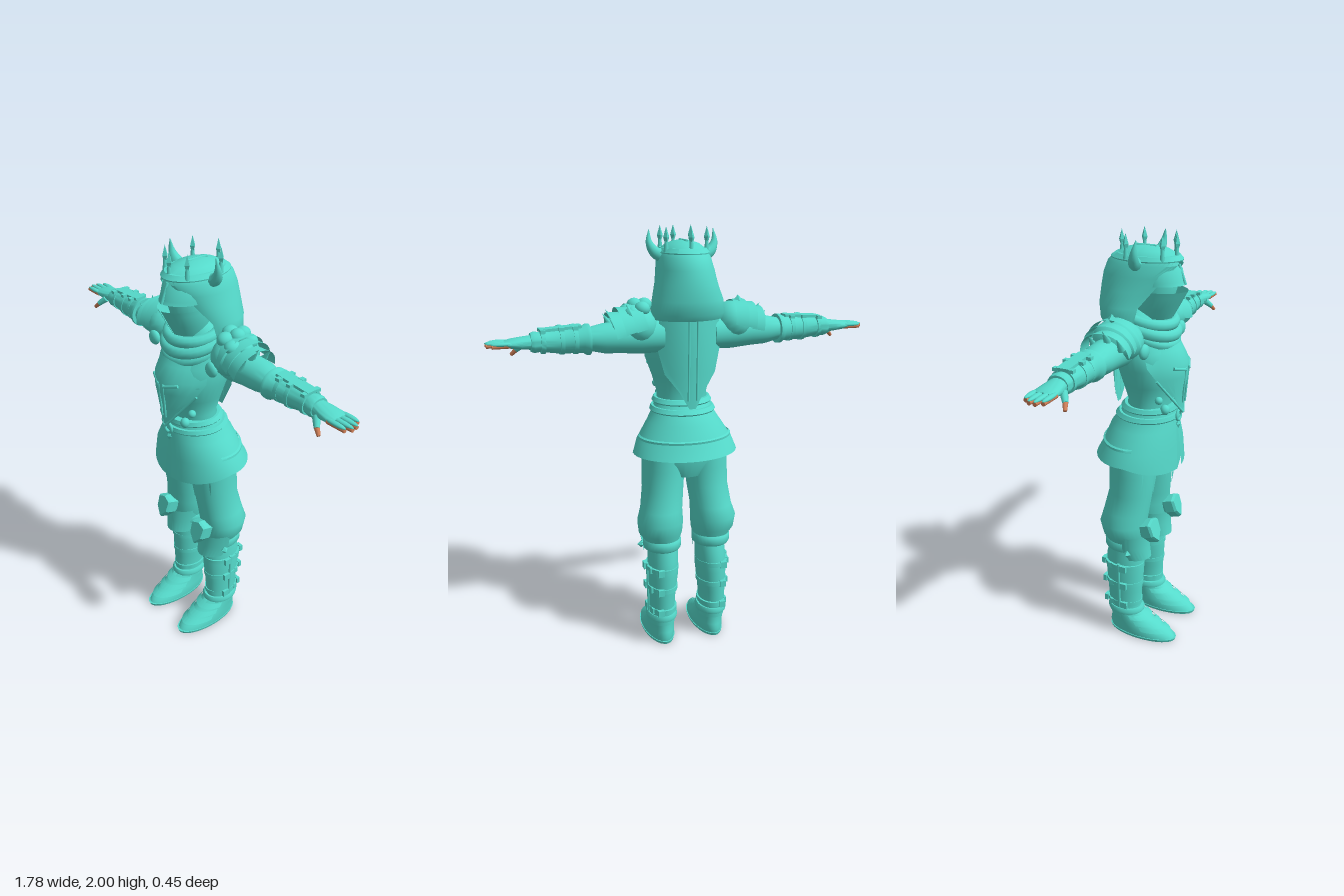
import * as THREE from 'three';
import { toCreasedNormals } from 'three/addons/utils/BufferGeometryUtils.js';

const teal = new THREE.MeshStandardMaterial({ color: 0x55dacb, side: THREE.DoubleSide });
teal.name = 'turquoise';
const skin = new THREE.MeshStandardMaterial({ color: 0xd08058, side: THREE.DoubleSide });
skin.name = 'skin';

function surface(pos, idx, crease = 0.75) {
  const g = new THREE.BufferGeometry();
  g.setAttribute('position', new THREE.Float32BufferAttribute(pos, 3));
  g.setIndex(idx);
  return toCreasedNormals(g, crease);
}

// Stacked oval sections [y, halfWidth, zFront, zBack, xCentre, frontGapAngle]
function loft(rows, { seg = 32, e = 1, cap = true, turn = 0, warp } = {}) {
  const pos = [], idx = [], w = seg + 1;
  const pw = (v) => Math.sign(v) * Math.abs(v) ** e;
  for (const [y, rx, zf, zb, cx = 0, gap = 0] of rows)
    for (let j = 0; j <= seg; j++) {
      const t = gap + ((2 * Math.PI - 2 * gap) * j) / seg + turn;
      const p = new THREE.Vector3(cx + rx * pw(Math.sin(t)), y, (zf + zb) / 2 + ((zf - zb) / 2) * Math.cos(t));
      if (warp) warp(p);
      pos.push(p.x, p.y, p.z);
    }
  for (let i = 0; i < rows.length - 1; i++)
    for (let j = 0; j < seg; j++) {
      const a = i * w + j;
      idx.push(a, a + 1, a + w + 1, a, a + w + 1, a + w);
    }
  if (cap) [0, rows.length - 1].forEach((i) => {
    const [y, , zf, zb, cx = 0] = rows[i], c = pos.length / 3;
    pos.push(cx, y, (zf + zb) / 2);
    for (let j = 0; j < seg; j++) i ? idx.push(c, i * w + j, i * w + j + 1) : idx.push(c, j + 1, j);
  });
  return surface(pos, idx);
}

// Curved sheet from rows [y, halfWidth, z], bent around the body
function panel(rows, bend, cx = 0) {
  const pos = [], idx = [], n = 10;
  for (const [y, hw, z] of rows)
    for (let j = 0; j <= n; j++) {
      const x = hw * ((2 * j) / n - 1);
      pos.push(cx + x, y, z - bend * x * x);
    }
  for (let i = 0; i < rows.length - 1; i++)
    for (let j = 0; j < n; j++) {
      const a = i * (n + 1) + j, b = a + n + 1;
      idx.push(a, a + 1, b + 1, a, b + 1, b);
    }
  return surface(pos, idx);
}

// Tube that narrows from r to almost nothing
function horn(points, r, n = 14) {
  const curve = new THREE.CatmullRomCurve3(points.map((p) => new THREE.Vector3(...p)));
  const g = new THREE.TubeGeometry(curve, n, r, 10), p = g.attributes.position, v = new THREE.Vector3();
  for (let k = 0; k < p.count; k++) {
    const u = Math.floor(k / 11) / n;
    v.fromBufferAttribute(p, k).lerp(curve.getPointAt(u), 0.96 * u ** 1.3);
    p.setXYZ(k, v.x, v.y, v.z);
  }
  g.computeVertexNormals();
  return g;
}

// Round bar between two points
function bar(a, b, r1, r2 = r1) {
  const A = new THREE.Vector3(...a), B = new THREE.Vector3(...b), d = B.clone().sub(A);
  const g = new THREE.CylinderGeometry(r2, r1, d.length(), 10);
  g.applyQuaternion(new THREE.Quaternion().setFromUnitVectors(new THREE.Vector3(0, 1, 0), d.normalize()));
  return g.translate(...A.add(B).multiplyScalar(0.5).toArray());
}

function place(g, pos = [0, 0, 0], rot = [0, 0, 0], scale = [1, 1, 1]) {
  const q = new THREE.Quaternion().setFromEuler(new THREE.Euler(...rot));
  return g.applyMatrix4(new THREE.Matrix4().compose(new THREE.Vector3(...pos), q, new THREE.Vector3(...scale)));
}
const ball = (pos, scale) => place(new THREE.SphereGeometry(1, 20, 14), pos, [0, 0, 0], scale);
const box = (size, pos, rot) => place(new THREE.BoxGeometry(...size), pos, rot);
const alongArm = (rows, opt) => place(loft(rows, opt), [0, 1.53, 0], [0, 0, -Math.PI / 2]);

function mirrored(src) {
  const g = src.clone().scale(-1, 1, 1);
  const ix = g.index ? Array.from(g.index.array) : Array.from({ length: g.attributes.position.count }, (_, i) => i);
  for (let i = 0; i < ix.length; i += 3) [ix[i + 1], ix[i + 2]] = [ix[i + 2], ix[i + 1]];
  g.setIndex(ix);
  return g;
}

export function createModel() {
  const model = new THREE.Group();
  model.name = 'armouredFigure';
  const add = (name, g, mat = teal) => {
    const m = new THREE.Mesh(g, mat);
    m.name = name;
    model.add(m);
  };
  const pair = (name, g, mat) => {
    add('left' + name, g, mat);
    add('right' + name, mirrored(g), mat);
  };

  // Torso and armour plates
  add('torso', loft([[1.14, 0.13, 0.12, -0.09], [1.25, 0.118, 0.125, -0.075], [1.33, 0.14, 0.15, -0.1], [1.42, 0.172, 0.18, -0.125],
    [1.5, 0.178, 0.15, -0.14], [1.58, 0.165, 0.1, -0.14], [1.64, 0.12, 0.07, -0.12], [1.68, 0.06, 0.05, -0.07]]));
  add('chestPlate', panel([[1.2, 0.004, 0.188], [1.3, 0.075, 0.19], [1.38, 0.14, 0.205], [1.44, 0.165, 0.205], [1.5, 0.155, 0.172], [1.57, 0.12, 0.125]], 4.5));
  add('backPlate', panel([[1.2, 0.015, -0.14], [1.28, 0.06, -0.142], [1.36, 0.12, -0.145], [1.48, 0.15, -0.152], [1.62, 0.14, -0.15]], -3));
  for (const x of [-0.02, 0.02]) {
    add('backRidge', bar([x, 1.24, -0.143], [x, 1.6, -0.152], 0.005));
    add('chestRidge', bar([x * 0.6, 1.25, 0.19], [x * 0.8, 1.42, 0.204], 0.005));
  }
  pair('ChestTrim', bar([0.015, 1.41, 0.204], [0.085, 1.43, 0.174], 0.008));
  pair('ChestEdge', bar([0.003, 1.2, 0.188], [0.14, 1.38, 0.117], 0.006));

  // Skirt, belt and front flap
  add('pelvis', loft([[0.86, 0.1, 0.05, -0.11], [0.94, 0.19, 0.09, -0.14], [1.05, 0.18, 0.12, -0.14], [1.18, 0.13, 0.12, -0.09]]));
  const hem = (p) => { if (p.y < 0.96) p.y = 0.975 - 0.06 * Math.max(0, p.z / 0.175); };
  add('skirt', loft([[0.95, 0.25, 0.175, -0.225, 0, 0.1], [1.03, 0.23, 0.168, -0.195, 0, 0.08], [1.12, 0.172, 0.16, -0.16, 0, 0.04], [1.17, 0.142, 0.153, -0.125],
    [1.21, 0.128, 0.145, -0.095]], { cap: false, seg: 48, warp: hem }));
  add('frontFlap', panel([[0.9, 0.004, 0.163], [0.94, 0.045, 0.163], [1.05, 0.045, 0.16], [1.16, 0.03, 0.153]], 1));
  for (const [y, r, f, b] of [[1.165, 0.152, 0.163, -0.135], [1.205, 0.138, 0.155, -0.107]])
    add('belt', loft([[y, r, f, b], [y + 0.006, r + 0.004, f + 0.004, b - 0.004], [y + 0.024, r - 0.006, f, b + 0.012]]));
  add('beltBuckle', place(new THREE.TorusGeometry(0.024, 0.007, 8, 20), [0, 1.18, 0.167]));
  add('buckleDrop', place(new THREE.OctahedronGeometry(0.018), [0, 1.135, 0.165], [0, 0, 0], [1, 1.3, 0.6]));
  pair('Pouch', ball([0.075, 1.225, 0.13], [0.022, 0.024, 0.022]));
  pair('SideKnob', ball([0.1, 1.275, 0.11], [0.018, 0.018, 0.018]));
  add('skirtSeam', loft([[1.045, 0.224, 0.15, -0.19, 0, 1.3], [1.055, 0.222, 0.15, -0.192, 0, 1.3], [1.06, 0.214, 0.15, -0.184, 0, 1.3]], { cap: false }));

  // Helmet with eye slit and split face guard
  add('faceCore', loft([[1.6, 0.06, 0.08, -0.06], [1.68, 0.075, 0.12, -0.06], [1.78, 0.082, 0.15, -0.06], [1.87, 0.08, 0.13, -0.06]], { e: 1.1 }));
  add('faceGuard', loft([[1.62, 0.06, 0.12, -0.06, 0, 0.09], [1.68, 0.085, 0.155, -0.06, 0, 0.09], [1.735, 0.094, 0.185, -0.06, 0, 0.09], [1.758, 0.097, 0.198, -0.06, 0, 0.09]], { e: 1.2, cap: false }));
  add('helmetBrow', loft([[1.785, 0.1, 0.188, -0.06], [1.8, 0.1, 0.18, -0.06], [1.85, 0.095, 0.168, -0.06], [1.89, 0.07, 0.13, -0.06]], { e: 1.2 }));
  add('helmetRidge', bar([0, 1.785, 0.187], [0, 1.87, 0.155], 0.007));

  // Hood and scarf
  add('hood', loft([[1.605, 0.16, 0.06, -0.185, 0, 1.05], [1.63, 0.17, 0.07, -0.2, 0, 1], [1.69, 0.16, 0.08, -0.21, 0, 0.95], [1.76, 0.138, 0.12, -0.205, 0, 0.78], [1.82, 0.126, 0.15, -0.195, 0, 0.6],
    [1.87, 0.115, 0.17, -0.175, 0, 0.28], [1.9, 0.1, 0.158, -0.14], [1.925, 0.072, 0.11, -0.095], [1.938, 0.03, 0.045, -0.04], [1.94, 0.002, 0.002, -0.002]], { cap: false, seg: 40 }));
  add('hoodCrease', bar([0, 1.938, -0.05], [0, 1.938, 0.05], 0.006));
  [[1.63, 0.115, 0.2, 0.026], [1.598, 0.128, 0.3, 0.028], [1.57, 0.13, 0.42, 0.024]].forEach(([y, r, tilt, t]) =>
    add('scarfFold', place(new THREE.TorusGeometry(r, t, 10, 32), [0, y, 0.015], [Math.PI / 2 + tilt, 0, 0])));

  // Crown with spikes and horns
  add('crownBand', loft([[1.885, 0.112, 0.17, -0.16], [1.89, 0.113, 0.172, -0.161], [1.908, 0.1, 0.155, -0.136]]));
  for (const t of [0, 0.75, -0.75, 2.1, -2.1, Math.PI]) {
    const x = 0.108 * Math.sin(t), z = 0.015 + 0.13 * Math.cos(t);
    add('spikeStem', bar([x, 1.89, z], [x, 1.95, z], 0.012, 0.006));
    add('spikeTip', place(new THREE.OctahedronGeometry(1), [x, 1.955, z], [0, 0, 0], [0.014, 0.045, 0.014]));
  }
  pair('Horn', horn([[0.09, 1.87, 0], [0.13, 1.89, 0.005], [0.152, 1.93, 0.015], [0.15, 1.985, 0.025]], 0.032));

  // Sleeves, bracers and hands
  pair('Sleeve', alongArm([[0.12, 0.075, 0.03, -0.12], [0.22, 0.078, 0.045, -0.12], [0.3, 0.07, 0.035, -0.115], [0.38, 0.066, 0.03, -0.112], [0.43, 0.055, 0.02, -0.1], [0.48, 0.045, 0.01, -0.09]]));
  pair('Bracer', alongArm([[0.445, 0.068, 0.035, -0.115], [0.46, 0.068, 0.035, -0.115], [0.475, 0.058, 0.022, -0.105], [0.58, 0.054, 0.016, -0.1], [0.66, 0.042, 0.005, -0.088], [0.685, 0.046, 0.012, -0.092], [0.7, 0.04, 0.006, -0.088]]));
  for (const [x, r] of [[0.5, 0.061], [0.56, 0.06], [0.64, 0.052]]) {
    pair('BracerStrap', alongArm([[x, r, r - 0.04, -r - 0.046], [x + 0.018, r - 0.001, r - 0.041, -r - 0.045]]));
    for (const z of [-0.075, -0.005]) pair('BracerStud', box([0.022, 0.014, 0.022], [x + 0.01, 1.525 + r, z]));
  }
  pair('BracerPlate', box([0.18, 0.012, 0.055], [0.57, 1.585, -0.042], [0, 0, -0.06]));
  pair('Palm', alongArm([[0.69, 0.032, 0, -0.08], [0.74, 0.026, 0.01, -0.088], [0.785, 0.02, 0.012, -0.09], [0.81, 0.012, 0.008, -0.086]]));
  [[-0.078, 0.865], [-0.051, 0.885], [-0.024, 0.888], [0.002, 0.872]].forEach(([z, tip]) => {
    pair('Finger', bar([0.785, 1.527, z * 0.95], [tip, 1.525, z], 0.0115, 0.009), skin);
    pair('FingerGuard', ball([(0.775 + tip) / 2, 1.534, z], [(tip - 0.775) / 2 + 0.003, 0.009, 0.0125]));
  });
  pair('Thumb', bar([0.725, 1.52, 0.0], [0.755, 1.49, 0.025], 0.017, 0.012));
  pair('ThumbTip', bar([0.753, 1.492, 0.023], [0.776, 1.468, 0.034], 0.0115, 0.008), skin);

  // Shoulder armour: smooth lames on the right, a lumpy rosette on the left
  pair('ShoulderCap', ball([0.225, 1.575, -0.025], [0.09, 0.09, 0.115]));
  pair('ShoulderDisc', ball([0.2, 1.53, 0.085], [0.034, 0.034, 0.02]));
  [[0.23, 0.1, 0.04], [0.275, 0.096, 0.03], [0.315, 0.09, 0.015]].forEach(([x, r, dy]) => {
    const lame = new THREE.CylinderGeometry(r + 0.012, r, 0.055, 24, 1, true, 0, Math.PI);
    lame.rotateY(-Math.PI);
    pair('ShoulderLame', place(lame, [x, 1.53 + dy, -0.03], [0, 0, -Math.PI / 2 - 0.2], [1, 1, 1.12]));
  });
  for (const z of [-0.09, -0.025, 0.04])
    pair('ShoulderSpike', place(new THREE.ConeGeometry(0.018, 0.07, 6), [0.345, 1.625 - Math.abs(z + 0.025) * 0.4, z], [0, 0, -0.65]));
  add('rightShoulderStud', place(new THREE.OctahedronGeometry(0.022), [-0.25, 1.672, -0.04]));
  for (let k = 0; k < 6; k++) {
    const a = (k * Math.PI) / 3;
    add('leftShoulderPetal', ball([0.235 + 0.045 * Math.cos(a), 1.645 - 0.02 * Math.cos(a), -0.025 + 0.055 * Math.sin(a)], [0.035, 0.032, 0.038]));
  }
  add('leftShoulderHeart', ball([0.235, 1.665, -0.025], [0.035, 0.033, 0.035]));

  // Legs
  pair('Trouser', loft([[0.48, 0.07, 0.03, -0.12, 0.12], [0.54, 0.085, 0.045, -0.14, 0.125], [0.58, 0.105, 0.055, -0.155, 0.132], [0.64, 0.11, 0.06, -0.17, 0.134], [0.7, 0.1, 0.068, -0.155, 0.125],
    [0.8, 0.099, 0.08, -0.132, 0.112], [0.9, 0.102, 0.09, -0.13, 0.107], [0.99, 0.1, 0.09, -0.13, 0.105]]));
  for (const [x, y] of [[0.075, 0.79], [0.13, 0.75], [0.17, 0.8]])
    pair('ThighStrip', panel([[y, 0.002, 0.084 - 9 * (x - 0.11) ** 2], [y + 0.08, 0.012, 0.093 - 8 * (x - 0.11) ** 2], [0.95, 0.014, 0.098 - 8 * (x - 0.11) ** 2]], 1, x));
  pair('KneeGuard', loft([[0.455, 0.076, 0.082, -0.1, 0.125, 1.7], [0.52, 0.087, 0.075, -0.13, 0.13, 1.6], [0.59, 0.1, 0.08, -0.15, 0.133, 1.7]], { turn: Math.PI, cap: false, e: 1.1 }));
  const shield = new THREE.Shape([[-0.04, 0.035], [0, 0.05], [0.04, 0.035], [0.036, -0.02], [0, -0.06], [-0.036, -0.02]].map((p) => new THREE.Vector2(...p)));
  pair('KneeShield', place(new THREE.ExtrudeGeometry(shield, { depth: 0.045, bevelSize: 0.006, bevelThickness: 0.012, bevelSegments: 1 }), [0.133, 0.61, 0.062], [-0.3, 0.05, 0]));
  pair('KneeBand', loft([[0.5, 0.088, 0.05, -0.145, 0.125], [0.51, 0.092, 0.052, -0.152, 0.125], [0.54, 0.092, 0.052, -0.152, 0.125], [0.55, 0.086, 0.05, -0.145, 0.125]]));

  // Boots with straps and studs
  pair('Boot', loft([[0.1, 0.065, 0.035, -0.13, 0.13], [0.16, 0.063, 0.03, -0.135, 0.132], [0.25, 0.066, 0.035, -0.142, 0.13], [0.36, 0.074, 0.043, -0.152, 0.125], [0.44, 0.073, 0.043, -0.15, 0.122], [0.51, 0.07, 0.04, -0.135, 0.12]]));
  for (const [y, r] of [[0.39, 0.079], [0.285, 0.074], [0.17, 0.069]]) {
    const x = 0.128, z = -0.055;
    pair('BootStrap', loft([[y, r, z + r + 0.022, z - r - 0.024, x], [y + 0.022, r, z + r + 0.022, z - r - 0.024, x]]));
    pair('BootBuckle', box([0.016, 0.034, 0.034], [x + r, y + 0.01, -0.03]));
    pair('BootKnob', box([0.03, 0.032, 0.018], [x + 0.03, y + 0.01, z - r - 0.018]));
    pair('BootHook', box([0.012, 0.028, 0.022], [x + r * 0.85, y + 0.01, -0.1]));
  }
  pair('BootRail', bar([0.195, 0.16, -0.055], [0.202, 0.42, -0.055], 0.007));
  pair('KneeStud', place(new THREE.OctahedronGeometry(0.02), [0.215, 0.5, 0.0]));
  pair('AnkleCuff', loft([[0.125, 0.074, 0.045, -0.14, 0.13], [0.14, 0.077, 0.048, -0.144, 0.13], [0.155, 0.07, 0.04, -0.138, 0.13]]));

  // Shoes with pointed toes
  pair('Shoe', loft([[0.012, 0.072, 0.217, -0.13, 0.128], [0.035, 0.073, 0.2, -0.135, 0.128], [0.06, 0.07, 0.15, -0.13, 0.128], [0.09, 0.067, 0.09, -0.128, 0.13], [0.13, 0.066, 0.045, -0.13, 0.13]]));
  pair('Sole', loft([[0, 0.072, 0.22, -0.132, 0.128], [0.014, 0.076, 0.225, -0.137, 0.128]]));
  for (const [y, f] of [[0.045, 0.184], [0.072, 0.132], [0.1, 0.08]])
    pair('ToePlate', loft([[y, 0.074, f + 0.01, -0.1, 0.128, 1.7], [y + 0.018, 0.068, f - 0.022, -0.1, 0.128, 1.7]], { turn: Math.PI, cap: false }));
  return model;
}
